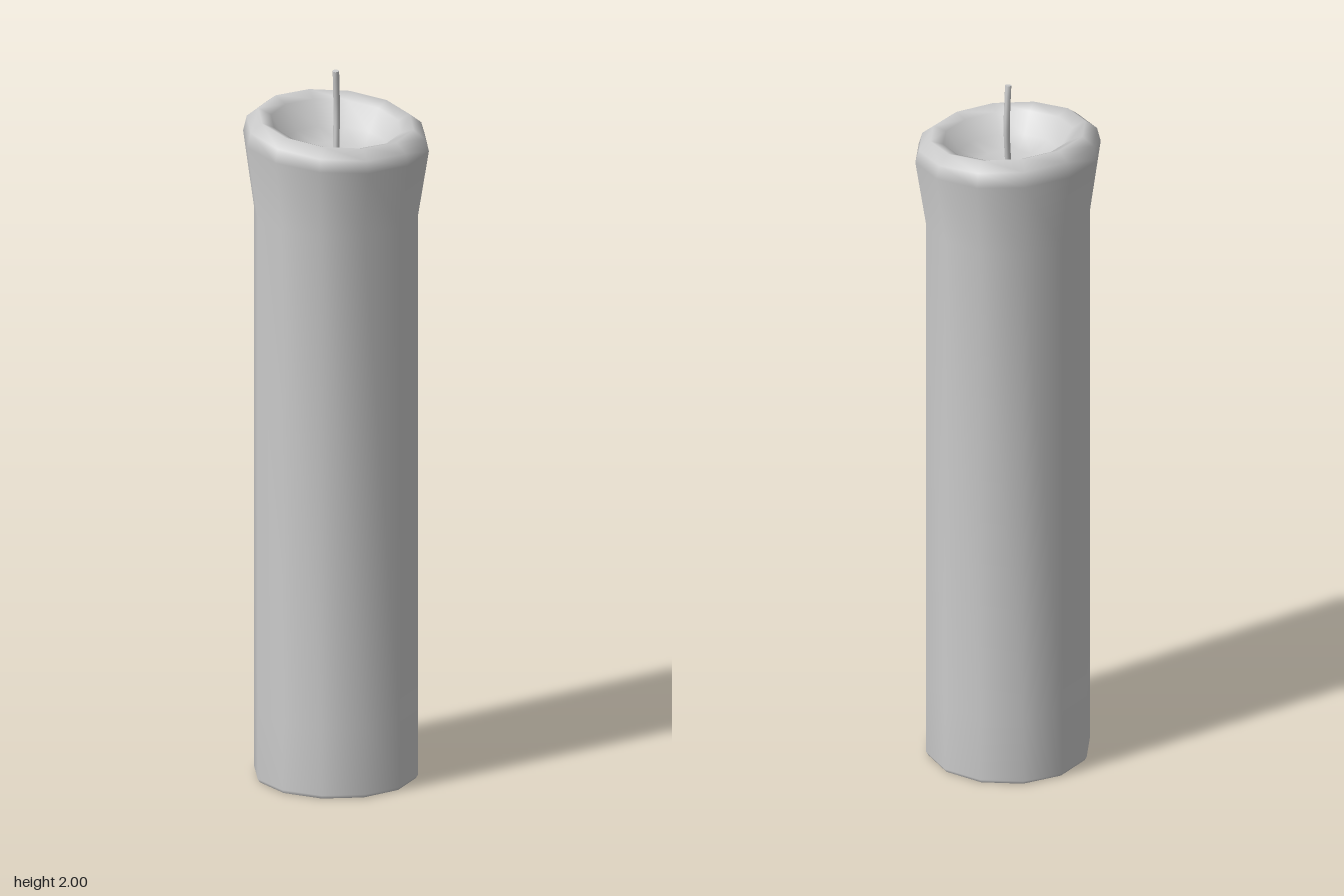
import * as THREE from 'three';
import { mergeVertices } from 'three/addons/utils/BufferGeometryUtils.js';

const SIDES = 12;

function smooth(geometry) {
  geometry.deleteAttribute('uv');
  geometry.deleteAttribute('normal');
  const merged = mergeVertices(geometry, 1e-4);
  merged.computeVertexNormals();
  return merged;
}

export function createModel() {
  const group = new THREE.Group();
  group.name = 'candle';
  const material = new THREE.MeshStandardMaterial({ color: 0xcccccc });
  const add = (name, geometry) => {
    const mesh = new THREE.Mesh(geometry, material);
    mesh.name = name;
    group.add(mesh);
    return mesh;
  };

  // Wax body: straight column, flared lip and melted bowl in one profile
  const profile = [
    [0.219, 0], [0.225, 0.01], [0.225, 0.2], [0.225, 1.6],
    [0.255, 1.8], [0.245, 1.837], [0.213, 1.862], [0.178, 1.848],
    [0.14, 1.79], [0.08, 1.768], [0, 1.76],
  ].map(([r, y]) => new THREE.Vector2(r, y));
  const wax = new THREE.LatheGeometry(profile, SIDES);

  // Uneven melt: the lip rises towards the back left corner (-x, -z)
  const pos = wax.attributes.position;
  const high = new THREE.Vector2(-0.87, -0.5);
  for (let i = 0; i < pos.count; i++) {
    const x = pos.getX(i), y = pos.getY(i), z = pos.getZ(i);
    const weight = THREE.MathUtils.clamp((y - 1.7) / 0.15, 0, 1);
    const tilt = (x * high.x + z * high.y) / 0.213;
    pos.setY(i, y + 0.022 * weight * tilt);
  }
  add('waxBody', smooth(wax));

  // Flat underside
  const base = add('base', new THREE.CircleGeometry(0.219, SIDES));
  base.rotation.x = Math.PI / 2;

  // Wick: thin, slightly bent back, with a closed tip
  const path = new THREE.CatmullRomCurve3([
    [0.004, 1.75], [-0.006, 1.82], [-0.011, 1.88], [-0.006, 1.94], [0.002, 1.999],
  ].map(([z, y]) => new THREE.Vector3(0, y, z)));
  add('wick', smooth(new THREE.TubeGeometry(path, 8, 0.009, 8)));
  const tip = add('wickTip', new THREE.CircleGeometry(0.009, 8));
  tip.position.copy(path.getPoint(1));
  tip.lookAt(path.getPoint(1).add(path.getTangent(1)));

  return group;
}
